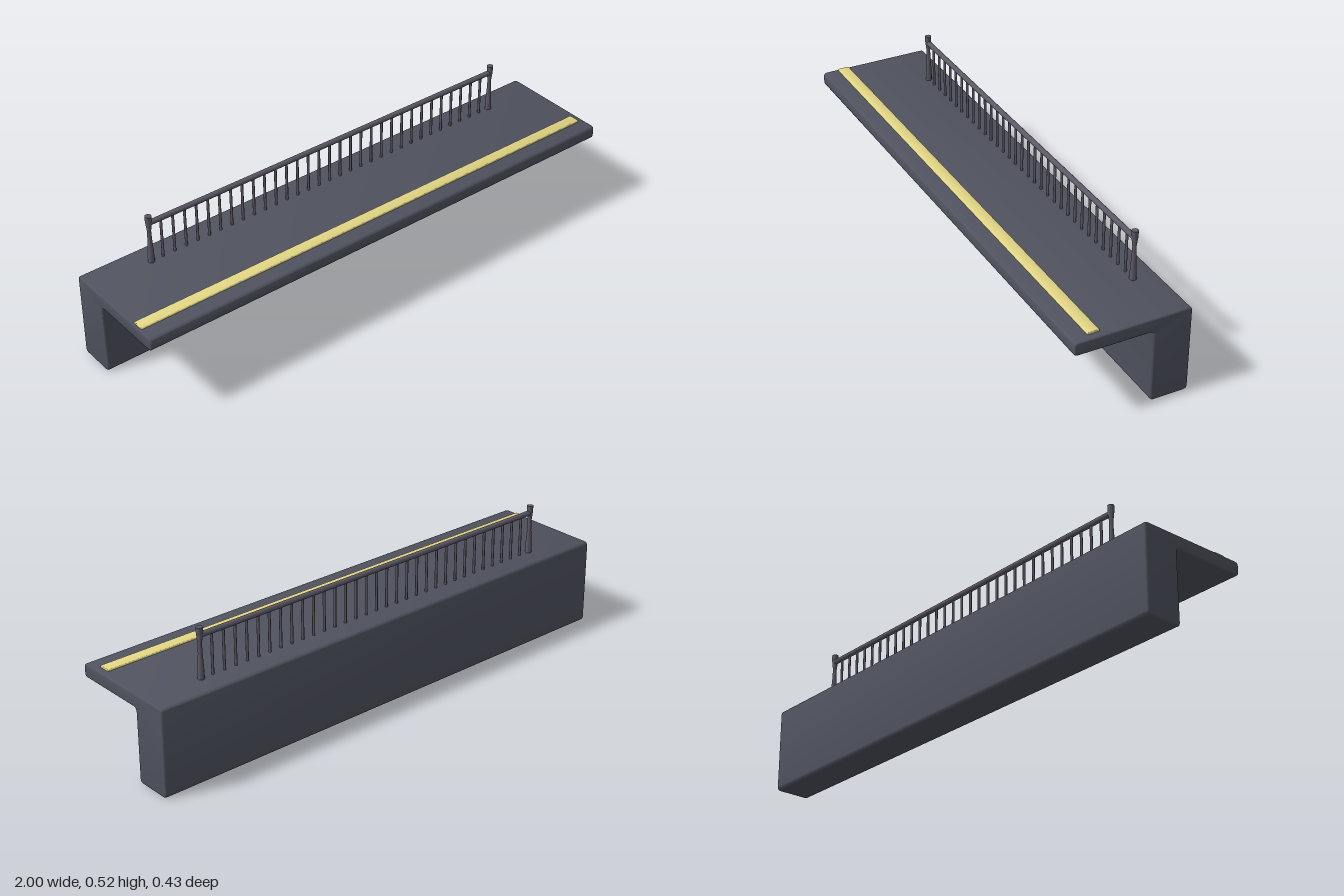
import * as THREE from 'three';
import { toCreasedNormals } from 'three/addons/utils/BufferGeometryUtils.js';

const material = (color) => new THREE.MeshStandardMaterial({ color });

// Closed outline with every corner rounded by the given radius
function roundedShape(points, radius) {
  const pts = points.map(([a, b]) => new THREE.Vector2(a, b));
  const shape = new THREE.Shape();
  pts.forEach((p, i) => {
    const prev = pts[(i + pts.length - 1) % pts.length];
    const next = pts[(i + 1) % pts.length];
    const start = p.clone().add(prev.clone().sub(p).setLength(radius));
    const end = p.clone().add(next.clone().sub(p).setLength(radius));
    if (i === 0) shape.moveTo(start.x, start.y);
    else shape.lineTo(start.x, start.y);
    shape.quadraticCurveTo(p.x, p.y, end.x, end.y);
  });
  shape.closePath();
  return shape;
}

// Extrudes a (z, y) outline along x between x0 and x1, with softened ends
function extrudeAlongX(shape, x0, x1, bevel) {
  const geometry = new THREE.ExtrudeGeometry(shape, {
    depth: x1 - x0 - 2 * bevel,
    curveSegments: 5,
    bevelEnabled: true,
    bevelThickness: bevel,
    bevelSize: bevel,
    bevelOffset: -bevel,
    bevelSegments: 3,
  });
  geometry.rotateY(-Math.PI / 2);
  geometry.translate(x1 - bevel, 0, 0);
  return toCreasedNormals(geometry, 0.7);
}

export function createModel() {
  const model = new THREE.Group();
  const concrete = material(0x50535f);
  const metal = material(0x5c5966);
  const yellow = material(0xe2d684);
  const add = (parent, name, geometry, mat, x = 0, y = 0, z = 0) => {
    const mesh = new THREE.Mesh(geometry, mat);
    mesh.name = name;
    mesh.position.set(x, y, z);
    parent.add(mesh);
    return mesh;
  };

  // Platform: rear wall with an overhanging deck
  const deckY = 0.329;
  const section = roundedShape([
    [-0.217, 0], [-0.075, 0], [-0.075, 0.278],
    [0.217, 0.278], [0.217, deckY], [-0.217, deckY],
  ], 0.015);
  add(model, 'platform', extrudeAlongX(section, -1, 1, 0.006), concrete);

  // Raised warning strip near the deck edge
  const strip = roundedShape([
    [0.112, 0.322], [0.157, 0.322], [0.157, 0.336], [0.112, 0.336],
  ], 0.005);
  add(model, 'warningStrip', extrudeAlongX(strip, -0.992, 0.976, 0.002), yellow);

  // Railing: turned end posts, top rail and balusters
  const railing = new THREE.Group();
  railing.name = 'railing';
  railing.position.set(0.006, 0, -0.129);
  model.add(railing);
  const halfLength = 0.769;

  const postProfile = [
    [0, 0.32], [0.0125, 0.32], [0.011, 0.37], [0.008, 0.42], [0.007, 0.455],
    [0.0115, 0.494], [0.012, 0.517], [0, 0.517],
  ].map(([r, y]) => new THREE.Vector2(r, y));
  const postGeometry = toCreasedNormals(new THREE.LatheGeometry(postProfile, 12), 0.7);
  for (const side of [-1, 1]) {
    add(railing, side < 0 ? 'rightPost' : 'leftPost', postGeometry, metal, side * halfLength);
  }

  const railGeometry = new THREE.CylinderGeometry(0.01, 0.01, 2 * halfLength, 12);
  railGeometry.rotateZ(Math.PI / 2);
  add(railing, 'topRail', railGeometry, metal, 0, 0.488);

  const count = 31;
  const bottom = 0.322, top = 0.485;
  const balusterGeometry = new THREE.CylinderGeometry(0.005, 0.005, top - bottom, 8);
  for (let i = 0; i < count; i++) {
    const x = -halfLength + (2 * halfLength * (i + 1)) / (count + 1);
    add(railing, 'baluster', balusterGeometry, metal, x, (top + bottom) / 2);
  }
  return model;
}
